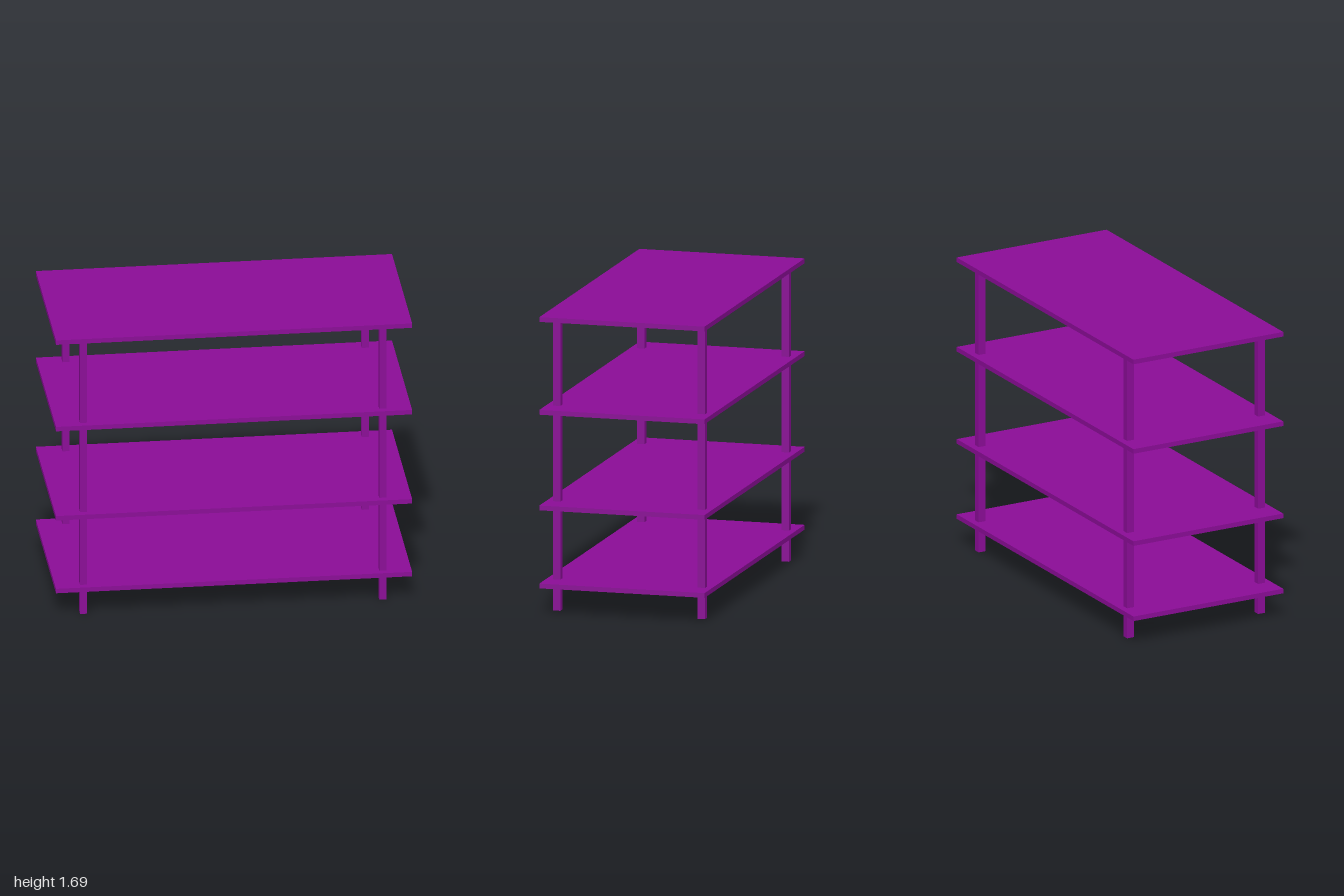
import * as THREE from 'three';

export function createModel() {
  const group = new THREE.Group();
  group.name = 'shelvingUnit';
  const material = new THREE.MeshStandardMaterial({ color: 0x8a0c96 });

  const addBox = (name, w, h, d, x, y, z) => {
    const mesh = new THREE.Mesh(new THREE.BoxGeometry(w, h, d), material);
    mesh.name = name;
    mesh.position.set(x, y, z);
    group.add(mesh);
  };

  // Four flat shelves, from the bottom up
  const thickness = 0.027;
  const shelfHeights = [0.164, 0.608, 1.152, 1.68];
  shelfHeights.forEach((y, i) => addBox(`shelf${i + 1}`, 2, thickness, 0.96, 0, y, 0));

  // Four corner posts running from the floor to the underside of the top shelf
  const postHeight = shelfHeights[3] - thickness / 2;
  for (const [side, x] of [['Left', 0.84], ['Right', -0.84]]) {
    for (const [end, z] of [['front', 0.42], ['back', -0.42]]) {
      addBox(`${end}${side}Post`, 0.04, postHeight, 0.043, x, postHeight / 2, z);
    }
  }
  return group;
}
